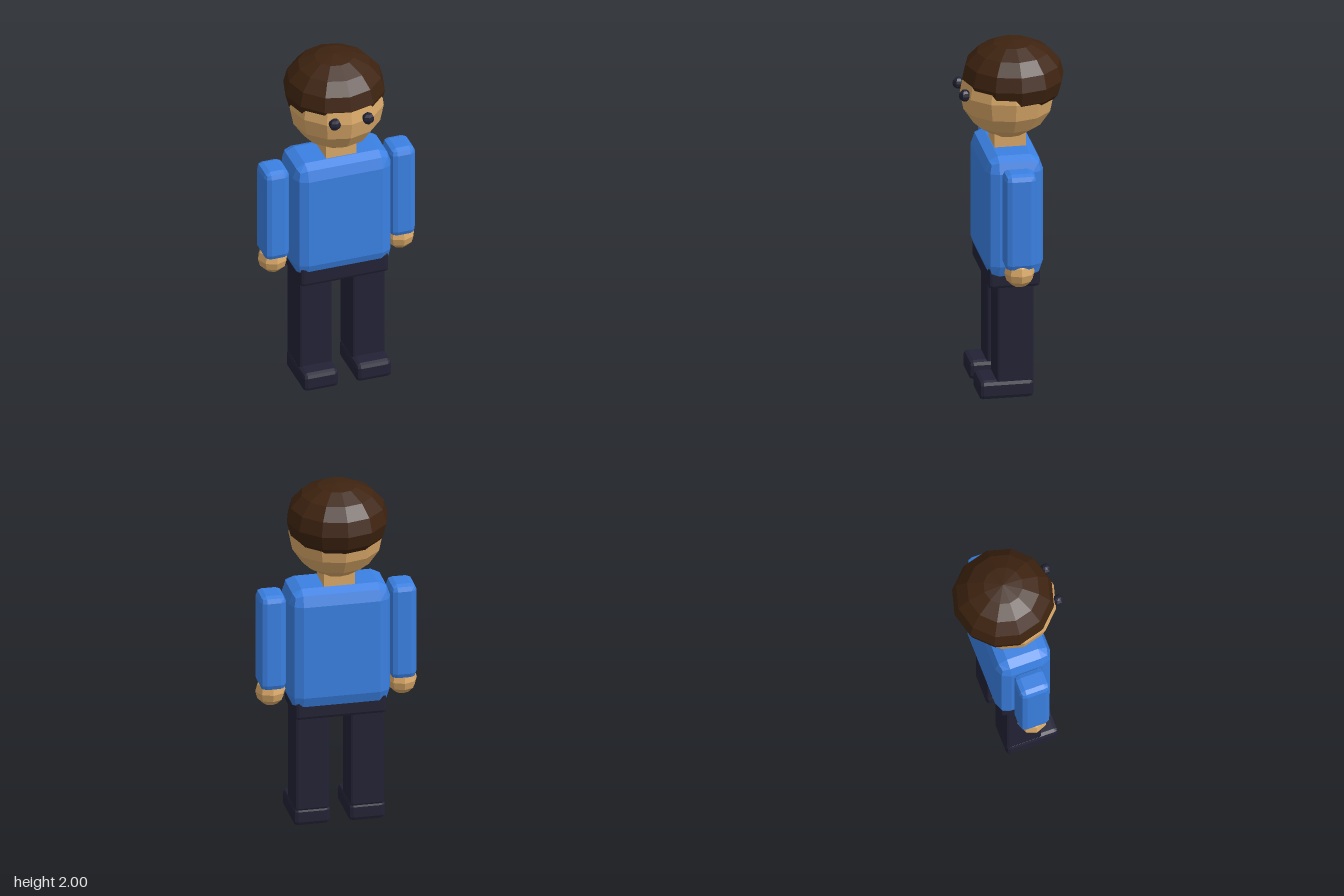
import * as THREE from 'three';

const mat = (name, color) => {
  const m = new THREE.MeshStandardMaterial({ color, flatShading: true });
  m.name = name;
  return m;
};

// Box with a two-step bevel: each corner is pushed onto a small ellipsoid.
function bevelBox(w, h, d, rx, ry = rx, rz = rx) {
  const geo = new THREE.BoxGeometry(2, 2, 2, 3, 3, 3);
  const p = geo.attributes.position;
  const half = [w / 2, h / 2, d / 2], r = [rx, ry, rz];
  for (let i = 0; i < p.count; i++) {
    const t = [p.getX(i), p.getY(i), p.getZ(i)];
    const dir = t.map(v => (Math.abs(v) > 0.5 && Math.abs(v) > 0.99 ? Math.sign(v) : 0));
    const len = Math.hypot(...dir);
    const q = t.map((v, k) => Math.sign(v) * (half[k] - r[k]) + (dir[k] / len) * r[k]);
    p.setXYZ(i, ...q);
  }
  geo.computeVertexNormals();
  return geo;
}

export function createModel() {
  const root = new THREE.Group();
  root.name = 'person';
  const skin = mat('skin', 0xd9a868);
  const shirt = mat('shirt blue', 0x3a80e2);
  const hair = mat('hair brown', 0x3e2310);
  const dark = mat('dark navy', 0x222235);

  const add = (name, geo, material, x, y, z) => {
    const mesh = new THREE.Mesh(geo, material);
    mesh.name = name;
    mesh.position.set(x, y, z);
    root.add(mesh);
    return mesh;
  };

  // Head, with the hair as a squashed ball set slightly back
  add('head', new THREE.SphereGeometry(0.265, 12, 8), skin, 0, 1.715, 0.01);
  add('hair', new THREE.SphereGeometry(0.281, 12, 8).scale(1, 0.75, 1), hair, 0, 1.79, -0.019);
  add('neck', new THREE.BoxGeometry(0.175, 0.16, 0.175), skin, 0, 1.45, 0.0125);

  // Body
  add('torso', bevelBox(0.565, 0.71, 0.32, 0.07, 0.085, 0.07), shirt, 0, 1.055, 0.015);
  add('hips', bevelBox(0.51, 0.13, 0.285, 0.02), dark, 0, 0.71, 0.0175);

  // Paired parts
  for (const [side, s] of [['left', 1], ['right', -1]]) {
    add(side + 'Eye', new THREE.SphereGeometry(0.034, 6, 6).rotateY(Math.PI / 2), dark, s * 0.096, 1.73, 0.264);
    add(side + 'Arm', bevelBox(0.145, 0.56, 0.175, 0.035), shirt, s * 0.363, 1.09, 0.0125);
    add(side + 'Hand', new THREE.SphereGeometry(0.084, 8, 6), skin, s * 0.366, 0.785, 0.0125);
    add(side + 'Leg', bevelBox(0.19, 0.59, 0.205, 0.015), dark, s * 0.153, 0.385, 0.0125);
    add(side + 'Shoe', bevelBox(0.205, 0.11, 0.302, 0.025), dark, s * 0.153, 0.055, 0.061);
  }
  return root;
}
